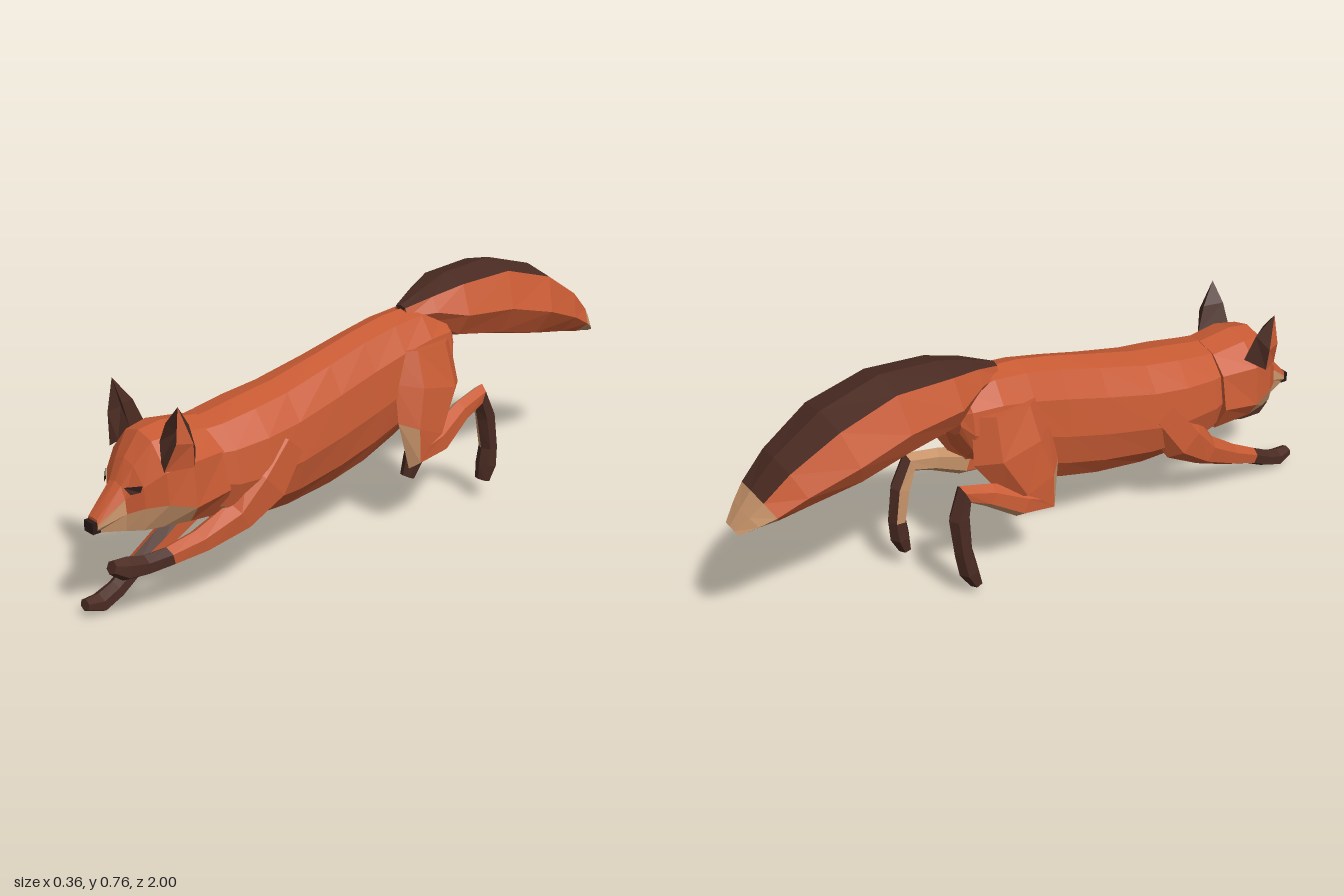
import * as THREE from 'three';

const mat = (name, color) => new THREE.MeshStandardMaterial({ name, color });

export function createModel() {
  const fur = mat('orangeFur', 0xc85b34);
  const dark = mat('darkBrown', 0x4a2b22);
  const tan = mat('paleTan', 0xc8946a);
  const black = mat('noseBlack', 0x2a1a18);
  const model = new THREE.Group();
  model.name = 'fox';
  const headGroup = new THREE.Group();
  headGroup.name = 'headGroup';
  headGroup.position.x = -0.008;
  model.add(headGroup);

  // Faceted mesh from triangles sorted by material
  function facets(name, tris, parent = model) {
    const mats = [...new Set(tris.map((t) => t[3]))];
    const geo = new THREE.BufferGeometry();
    const pts = [];
    mats.forEach((m, k) => {
      const start = pts.length;
      for (const t of tris) if (t[3] === m) pts.push(t[0], t[1], t[2]);
      geo.addGroup(start, pts.length - start, k);
    });
    geo.setFromPoints(pts);
    geo.computeVertexNormals();
    const mesh = new THREE.Mesh(geo, mats);
    mesh.name = name;
    parent.add(mesh);
  }

  // Skin over rings; pick(i, j) gives the material of each panel
  function skin(name, rings, pick, parent) {
    const n = rings[0].length, tris = [];
    for (let i = 0; i < rings.length - 1; i++) {
      for (let j = 0; j < n; j++) {
        const k = (j + 1) % n, m = pick(i, j);
        const A = rings[i][j], B = rings[i][k], C = rings[i + 1][k], D = rings[i + 1][j];
        if (j < n / 2) tris.push([A, D, C, m], [A, C, B, m]);
        else tris.push([A, D, B, m], [D, C, B, m]);
      }
    }
    const mid = (r) => r.reduce((s, p) => s.add(p), new THREE.Vector3()).divideScalar(n);
    const last = rings.length - 1, c0 = mid(rings[0]), c1 = mid(rings[last]);
    for (let j = 0; j < n; j++) {
      const k = (j + 1) % n;
      tris.push([c0, rings[0][j], rings[0][k], pick(0, j)]);
      tris.push([c1, rings[last][k], rings[last][j], pick(last - 1, j)]);
    }
    facets(name, tris, parent);
  }

  // Close a half outline by mirroring it
  const loop = (half) => [...half, ...half.slice(1, -1).reverse().map(([x, y]) => [-x, y])];
  const legShape = loop([[0, 1], [0.87, 0.5], [0.87, -0.5], [0, -1]]);
  const tailShape = loop([[0, 1], [0.68, 0.8], [1, -0.1], [0.68, -0.78], [0, -1]]);

  // Limb along [x, y, z, halfWidth, halfDepth] stations
  function limb(name, st, shape, pick) {
    const P = st.map((s) => new THREE.Vector3(s[0], s[1], s[2]));
    const U = new THREE.Vector3(1, 0, 0);
    const rings = st.map((s, i) => {
      const t = P[Math.min(i + 1, P.length - 1)].clone().sub(P[Math.max(i - 1, 0)]);
      t.x = 0;
      const v = t.normalize().cross(U);
      return shape.map(([a, b]) => P[i].clone().addScaledVector(U, s[3] * a).addScaledVector(v, s[4] * b));
    });
    skin(name, rings, pick);
  }

  // Torso, rump to neck: [z, top, bottom, halfWidth]
  const outline = loop([[0, 1], [0.5, 0.9], [0.88, 0.5], [1, -0.1], [0.85, -0.6], [0.45, -0.95], [0, -1]]);
  const torso = [
    [-0.295, 0.61, 0.5, 0.07], [-0.265, 0.65, 0.42, 0.1], [-0.17, 0.675, 0.35, 0.117],
    [-0.06, 0.668, 0.29, 0.117], [0.06, 0.645, 0.24, 0.117], [0.2, 0.61, 0.21, 0.127],
    [0.37, 0.57, 0.195, 0.145], [0.49, 0.553, 0.2, 0.155], [0.6, 0.535, 0.217, 0.145], [0.7, 0.525, 0.265, 0.12],
  ].map(([z, top, bot, w]) => outline.map(([x, y]) =>
    new THREE.Vector3(x * w, (top + bot) / 2 + (y * (top - bot)) / 2, z)));
  skin('torso', torso, (i, j) => (i > 7 && j > 3 && j < 8 ? tan : fur));

  // Head, nape to muzzle: z, then half outline from crown to chin
  const head = [
    [0.63, [0, 0.533], [0.07, 0.515], [0.125, 0.46], [0.148, 0.35], [0.1, 0.265], [0, 0.23]],
    [0.75, [0, 0.548], [0.075, 0.53], [0.145, 0.465], [0.158, 0.338], [0.12, 0.285], [0, 0.27]],
    [0.825, [0, 0.538], [0.06, 0.522], [0.125, 0.45], [0.132, 0.358], [0.1, 0.285], [0, 0.275]],
    [0.875, [0, 0.472], [0.042, 0.458], [0.088, 0.41], [0.092, 0.35], [0.075, 0.28], [0, 0.275]],
    [0.908, [0, 0.412], [0.028, 0.405], [0.045, 0.37], [0.05, 0.33], [0.042, 0.278], [0, 0.27]],
    [0.985, [0, 0.328], [0.02, 0.326], [0.024, 0.312], [0.024, 0.3], [0.016, 0.288], [0, 0.284]],
  ].map(([z, ...half]) => loop(half).map(([x, y]) => new THREE.Vector3(x, y, z)));
  skin('head', head, (i, j) => {
    const k = j < 5 ? j : 9 - j;
    return (k > 2 && i > 0) || k === 4 || (k === 2 && i === 4) ? tan : fur;
  }, headGroup);
  const nose = new THREE.Mesh(new THREE.BoxGeometry(0.042, 0.032, 0.025), black);
  nose.name = 'nose';
  nose.position.set(0, 0.303, 0.987);
  headGroup.add(nose);

  // Ears and eyes, mirrored
  for (const s of [1, -1]) {
    const side = s > 0 ? 'left' : 'right';
    const V = (x, y, z) => new THREE.Vector3(x * s, y, z);
    const tri = (a, b, c, m) => (s > 0 ? [a, b, c, m] : [a, c, b, m]);
    // Ear corners in order: inner, front, outer, rim, back
    const base = [V(0.07, 0.52, 0.805), V(0.1, 0.475, 0.825), V(0.128, 0.455, 0.835), V(0.17, 0.465, 0.765), V(0.115, 0.49, 0.72)];
    const mid = [V(0.1, 0.58, 0.805), V(0.13, 0.56, 0.79), V(0.16, 0.54, 0.815), V(0.175, 0.535, 0.77), V(0.13, 0.57, 0.75)];
    const tip = V(0.152, 0.64, 0.8);
    const tris = [];
    for (let i = 0; i < 5; i++) {
      const k = (i + 1) % 5, m = i === 2 ? fur : dark;
      tris.push(tri(base[i], base[k], mid[k], m), tri(base[i], mid[k], mid[i], m), tri(mid[i], mid[k], tip, m));
    }
    facets(side + 'Ear', tris, headGroup);
    const E = (x, y) => V(x, y, 0.917 - 0.589 * (x - 0.028) - 0.286 * (y - 0.405));
    facets(side + 'Eye', [
      tri(E(0.042, 0.405), E(0.062, 0.388), E(0.086, 0.398), dark),
      tri(E(0.042, 0.405), E(0.086, 0.398), E(0.088, 0.416), black),
    ], headGroup);
  }

  // Tail, tip to root, dark on top with a pale tip (its ring tops face down, so the shape is flipped)
  const tailRings = [
    [-0.008, 0.425, -0.995, 0.04, 0.012], [-0.008, 0.455, -0.95, 0.075, 0.03], [-0.008, 0.482, -0.905, 0.1, 0.05],
    [-0.008, 0.53, -0.82, 0.122, 0.082], [-0.008, 0.592, -0.67, 0.15, 0.117], [-0.008, 0.637, -0.5, 0.138, 0.124],
    [-0.008, 0.648, -0.32, 0.122, 0.1], [0, 0.665, -0.22, 0.075, 0.05], [0, 0.655, -0.14, 0.03, 0.03],
  ];
  limb('tail', tailRings, tailShape, (i, j) => (i < 2 ? tan : j === 0 || j === 7 ? dark : fur));

  // Front legs
  limb('leftFrontLeg', [
    [0.1, 0.42, 0.4, 0.05, 0.07], [0.115, 0.325, 0.49, 0.052, 0.092], [0.112, 0.25, 0.59, 0.046, 0.056],
    [0.095, 0.205, 0.71, 0.038, 0.038], [0.072, 0.18, 0.8, 0.031, 0.03], [0.056, 0.17, 0.87, 0.031, 0.03],
    [0.05, 0.178, 0.93, 0.034, 0.035], [0.05, 0.195, 0.972, 0.022, 0.02],
  ], legShape, (i) => (i > 3 ? dark : fur));
  limb('rightFrontLeg', [
    [-0.1, 0.4, 0.4, 0.05, 0.07], [-0.12, 0.28, 0.49, 0.05, 0.08], [-0.12, 0.205, 0.58, 0.045, 0.05],
    [-0.104, 0.14, 0.7, 0.037, 0.037], [-0.09, 0.09, 0.81, 0.031, 0.028], [-0.076, 0.052, 0.88, 0.03, 0.028],
    [-0.07, 0.032, 0.94, 0.033, 0.029], [-0.068, 0.042, 0.99, 0.022, 0.017],
  ], legShape, (i, j) => (i > 3 || (i > 1 && j === 0) ? dark : fur));

  // Hind legs: pale knee front, shank underside and inner hock, dark below
  const hindPick = (s) => (i, j) => {
    const inner = s > 0 ? j > 2 : j < 3;
    const front = j === 0 || j === 5;
    const back = j === 2 || j === 3;
    if (i < 2) return fur;
    if (i < 6) return front || (inner && i > 3) ? tan : fur;
    return i < 8 && inner && !back ? tan : dark;
  };
  limb('leftHindLeg', [
    [0.08, 0.58, -0.15, 0.05, 0.115], [0.105, 0.46, -0.15, 0.065, 0.135], [0.132, 0.335, -0.1, 0.052, 0.1],
    [0.148, 0.27, -0.075, 0.036, 0.06], [0.146, 0.285, -0.16, 0.036, 0.048], [0.122, 0.34, -0.28, 0.03, 0.037],
    [0.112, 0.365, -0.37, 0.028, 0.038], [0.108, 0.29, -0.405, 0.03, 0.035], [0.108, 0.18, -0.422, 0.03, 0.03],
    [0.108, 0.12, -0.415, 0.034, 0.032], [0.108, 0.07, -0.4, 0.026, 0.02],
  ], legShape, hindPick(1));
  limb('rightHindLeg', [
    [-0.08, 0.58, -0.15, 0.05, 0.115], [-0.105, 0.46, -0.145, 0.065, 0.135], [-0.132, 0.335, -0.09, 0.052, 0.1],
    [-0.148, 0.265, -0.065, 0.036, 0.06], [-0.146, 0.28, -0.14, 0.036, 0.048], [-0.128, 0.33, -0.24, 0.03, 0.037],
    [-0.12, 0.355, -0.32, 0.028, 0.038], [-0.122, 0.28, -0.34, 0.03, 0.035], [-0.124, 0.16, -0.33, 0.03, 0.03],
    [-0.125, 0.09, -0.315, 0.034, 0.032], [-0.125, 0.036, -0.29, 0.026, 0.02],
  ], legShape, hindPick(-1));

  return model;
}
